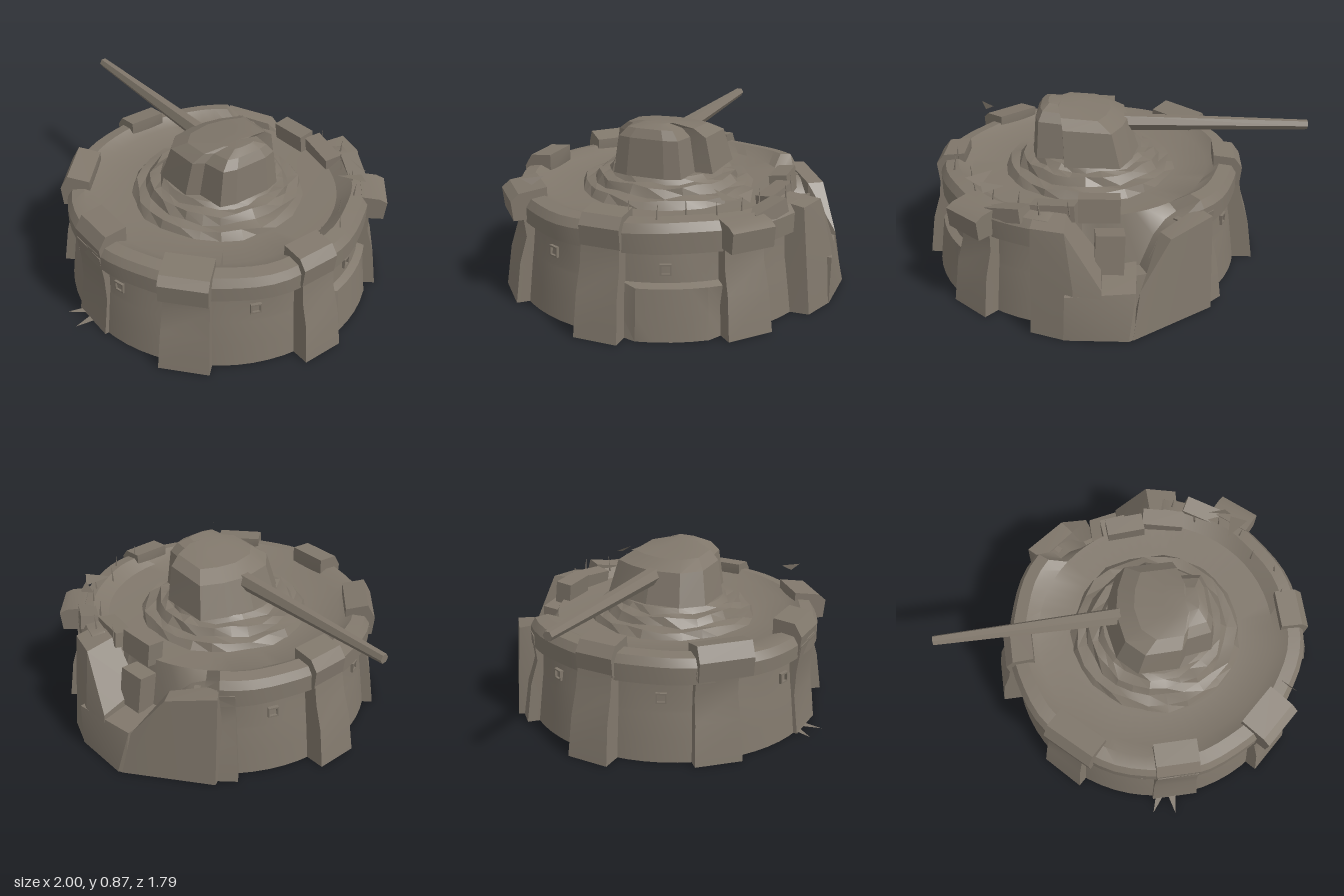
import * as THREE from 'three';
import { toCreasedNormals } from 'three/addons/utils/BufferGeometryUtils.js';
import { ConvexGeometry } from 'three/addons/geometries/ConvexGeometry.js';

const stone = new THREE.MeshStandardMaterial({ color: 0x80776b });
stone.name = 'weathered stone';
const sheet = new THREE.MeshStandardMaterial({ color: 0x80776b, side: THREE.DoubleSide });
sheet.name = 'weathered stone sheet';
const CX = 0.13; // axis of the round bunker
const rad = THREE.MathUtils.degToRad;
const deg = THREE.MathUtils.radToDeg;
const V = (x, y, z) => new THREE.Vector3(x, y, z);

function add(parent, name, geometry, material = stone, crease = 0.5) {
  const mesh = new THREE.Mesh(toCreasedNormals(geometry, crease), material);
  mesh.name = name;
  parent.add(mesh);
  return mesh;
}

// Places a part whose local +x points outward at a bearing (degrees from the front)
function onRing(mesh, bearing) {
  mesh.rotation.y = rad(bearing - 90);
  mesh.position.x = CX;
  return mesh;
}

// Piecewise linear lookup in [x, y] pairs
function ramp(pairs, t) {
  for (let i = 1; i < pairs.length; i++) {
    const [x0, y0] = pairs[i - 1], [x1, y1] = pairs[i];
    if (t <= x1) return t <= x0 ? y0 : y0 + (y1 - y0) * (t - x0) / (x1 - x0);
  }
  return pairs[pairs.length - 1][1];
}

// Lathe whose vertices are moved by rule(radius, y, angle) -> [radius, y]
function warpedLathe(profile, segments, rule) {
  const g = new THREE.LatheGeometry(profile.map(p => new THREE.Vector2(...p)), segments);
  const p = g.attributes.position;
  for (let i = 0; i < p.count; i++) {
    const a = Math.atan2(p.getX(i), p.getZ(i));
    const [r, y] = rule(Math.hypot(p.getX(i), p.getZ(i)), p.getY(i), a);
    p.setXYZ(i, CX + r * Math.sin(a), y, r * Math.cos(a));
  }
  return g;
}

// Skin over loops of equal length, closed with a peak
function loft(loops, peak) {
  const n = loops[0].length, index = [];
  const pts = [...loops.flat(), peak];
  for (let k = 0; k < loops.length; k++) for (let j = 0; j < n; j++) {
    const a = k * n + j, b = k * n + (j + 1) % n;
    if (k < loops.length - 1) index.push(a, b, b + n, a, b + n, a + n);
    else index.push(a, b, pts.length - 1);
  }
  const g = new THREE.BufferGeometry().setFromPoints(pts);
  g.setIndex(index);
  return g;
}

// Outline in (outward, up), extruded to a width and widened towards the ground
function slab(points, width, flare = 0) {
  const g = new THREE.ExtrudeGeometry(new THREE.Shape(points.map(p => new THREE.Vector2(...p))),
    { depth: width, bevelEnabled: false });
  g.translate(0, 0, -width / 2);
  const p = g.attributes.position;
  for (let i = 0; i < p.count; i++) p.setZ(i, p.getZ(i) * (1 + flare * Math.max(0, 0.45 - p.getY(i))));
  return g;
}

export function createModel() {
  const model = new THREE.Group();
  model.name = 'ruinedGunBunker';

  // Round body: flared wall, overhanging band and dished roof, with a breach at the back
  const breach = [[-54, 1], [-46, 0.5], [-32, 0.45], [-24, 0.25], [-4, 0.25], [6, 0.52], [8, 1]];
  const noise = a => 0.5 * Math.sin(5 * a + 1) + 0.5 * Math.sin(11 * a);
  const body = [[0, 0], [0.785, 0], [0.77, 0.12], [0.753, 0.25], [0.75, 0.265], [0.737, 0.4], [0.78, 0.415],
    [0.78, 0.49], [0.755, 0.53], [0.69, 0.54], [0.62, 0.512], [0.45, 0.5], [0, 0.5]];
  add(model, 'bunkerBody', warpedLathe(body, 60, (r, y, a) => {
    const bearing = deg(a);
    const cap = ramp(breach, deg(Math.atan2(Math.sin(a), -Math.cos(a))));
    if (r > 0.65) {
      if (y > 0.4) r += 0.008 * noise(a);
      if (y < 0.26 && bearing > 97 && bearing < 132) r += 0.035; // low skirt
      if (y > 0.45) y += 0.006 * Math.sin(4 * a) + 0.014 * (1 - Math.cos(a));
      if (y > cap) { y = cap; r -= 0.02; }
    }
    return [r, y];
  }));

  // Broken stepped rings around the turret
  const steps = [[0.45, 0.49], [0.42, 0.535], [0.37, 0.54], [0.345, 0.58], [0.3, 0.585], [0.275, 0.612], [0, 0.612]];
  add(model, 'turretRing', warpedLathe(steps, 26, (r, y, a) =>
    r > 0.28 ? [r + 0.012 * noise(a + r * 9), y + 0.008 * Math.sin(7 * a + r * 30)] : [r, y]), stone, 0.3);

  // Buttresses: [bearing, outward reach at the base, width]
  const buttresses = [[0, 0.795, 0.21], [42, 0.84, 0.22], [90, 0.87, 0.19], [139, 0.86, 0.2],
    [226, 0.84, 0.2], [270, 0.88, 0.19], [314, 0.83, 0.21]];
  for (const [bearing, reach, width] of buttresses) {
    onRing(add(model, 'buttress', slab([[0.7, 0], [reach, 0], [reach - 0.03, 0.21],
      [Math.max(0.768, reach - 0.07), 0.34], [0.785, 0.48], [0.7, 0.48]], width, 0.35)), bearing);
  }

  // Parapet blocks: [bearing, inner, outer, inner top, outer top, width]
  const blocks = [[0, 0.63, 0.775, 0.605, 0.595, 0.22], [42, 0.66, 0.83, 0.585, 0.565, 0.24],
    [90, 0.65, 0.79, 0.59, 0.58, 0.2], [139, 0.74, 0.86, 0.56, 0.55, 0.22],
    [270, 0.65, 0.79, 0.6, 0.585, 0.2], [317, 0.645, 0.79, 0.58, 0.605, 0.28]];
  for (const [bearing, inner, outer, innerTop, outerTop, width] of blocks) {
    onRing(add(model, 'parapetBlock', slab([[inner, 0.5], [inner + 0.03, 0.43], [outer, 0.43],
      [outer + 0.01, 0.53], [outer - 0.03, outerTop], [inner, innerTop]], width)), bearing);
  }

  // Small square window frames
  const frame = new THREE.Shape([[-1, -1], [1, -1], [1, 1], [-1, 1]].map(p => new THREE.Vector2(p[0] * 0.027, p[1] * 0.027)));
  frame.holes.push(new THREE.Path([[-1, -1], [-1, 1], [1, 1], [1, -1]].map(p => new THREE.Vector2(p[0] * 0.019, p[1] * 0.019))));
  for (const bearing of [-66, -14, 14, 67, 112, 248]) {
    const g = new THREE.ExtrudeGeometry(frame, { depth: 0.03, bevelEnabled: false });
    g.rotateY(Math.PI / 2).translate(0.727, 0.33, 0);
    onRing(add(model, 'windowFrame', g), bearing);
  }

  // Collapsed back wall: leaning wall, low apron, sloping pier and loose stones
  const hull = (name, pts) => add(model, name, new ConvexGeometry(pts.map(p => V(...p))), stone, 0.3);
  hull('leaningWall', [[-0.5, 0, -0.6], [-0.12, 0, -0.89], [-0.12, 0, -0.7], [-0.42, 0, -0.45],
    [-0.49, 0.5, -0.57], [-0.42, 0.51, -0.5], [-0.29, 0.46, -0.73], [-0.24, 0.46, -0.66], [-0.15, 0.24, -0.84]]);
  hull('fallenApron', [[-0.13, 0, -0.88], [-0.1, 0, -0.9], [0.21, 0, -0.9], [0.2, 0, -0.6], [-0.13, 0, -0.6],
    [-0.13, 0.23, -0.84], [0.2, 0.24, -0.9], [0.2, 0.27, -0.62], [-0.13, 0.27, -0.62]]);
  hull('standingPier', [[0.02, 0, -0.89], [0.2, 0, -0.9], [0.37, 0, -0.84], [0.38, 0, -0.62], [0.02, 0, -0.62],
    [0.03, 0.26, -0.87], [0.16, 0.26, -0.89], [0.2, 0.54, -0.83], [0.36, 0.54, -0.79], [0.35, 0.56, -0.66],
    [0.2, 0.56, -0.66], [0.04, 0.32, -0.65]]);
  const stones = [[0.05, 0.55, -0.6, 0.2, 0.12, 0.09, 0.05], [0.26, 0.545, -0.62, 0.22, 0.08, 0.09, -0.2],
    [0.0, 0.36, -0.68, 0.14, 0.2, 0.1, 0.1], [0.48, 0.54, -0.64, 0.2, 0.07, 0.09, -0.5]];
  for (const [x, y, z, w, h, d, turn] of stones) {
    const s = add(model, 'looseStone', new THREE.BoxGeometry(w, h, d));
    s.position.set(x, y, z);
    s.rotation.set(0.12, turn, turn * 0.3);
  }

  // Turret lofted from one angular outline
  const outline = [[0, 0.26], [0.21, 0.26], [0.25, 0.2], [0.39, 0.18], [0.415, 0.1], [0.415, -0.1], [0.39, -0.18],
    [0.25, -0.2], [0.24, -0.29], [-0.04, -0.3], [-0.1, -0.17], [-0.13, -0.02], [-0.1, 0.16]];
  const levels = [[0.61, 1], [0.79, 0.87], [0.835, 0.66], [0.858, 0.32]];
  add(model, 'turret', loft(levels.map(([y, s]) => outline.map(([x, z]) =>
    V(0.3 + (x - 0.3) * s, y + (y > 0.75 ? (x - 0.15) * 0.04 : 0), -0.015 + (z + 0.015) * s))), V(0.27, 0.866, -0.01)), stone, 0.25);

  // Long tapering gun barrel
  const barrel = new THREE.CylinderGeometry(0.025, 0.047, 1.02, 6);
  barrel.rotateZ(Math.PI / 2);
  const gun = add(model, 'gunBarrel', barrel);
  gun.position.set(-0.49, 0.747, -0.016);
  gun.rotation.z = 0.004;

  // Bent bars and torn strips along the back right rim
  for (let i = 0; i < 8; i++) {
    const a = rad(98 + i * 11), r = 0.69 + 0.03 * Math.sin(i * 2.3);
    const bar = add(model, 'bentBar', new THREE.ConeGeometry(0.007, 0.1, 4));
    bar.position.set(CX + r * Math.sin(a), 0.59, r * Math.cos(a));
    bar.rotation.z = 0.15 * Math.sin(i * 1.7);
  }
  const shard = (name, pts) => {
    const g = new THREE.BufferGeometry().setFromPoints(pts.map(p => V(...p)));
    add(model, name, g, sheet);
  };
  shard('tornStrip', [[0.58, 0.655, -0.42], [0.7, 0.65, -0.5], [0.62, 0.63, -0.55]]);
  shard('tornStrip', [[0.5, 0.65, -0.58], [0.62, 0.655, -0.55], [0.6, 0.62, -0.6]]);
  shard('tornStrip', [[0.7, 0.655, 0.4], [0.78, 0.655, 0.48], [0.75, 0.62, 0.44]]);

  // Splinters on the ground at the front
  shard('splinter', [[0.03, 0.004, 0.77], [0.0, 0.004, 0.87], [0.08, 0.004, 0.77]]);
  shard('splinter', [[0.09, 0.004, 0.77], [0.12, 0.004, 0.89], [0.14, 0.004, 0.77]]);

  return model;
}
